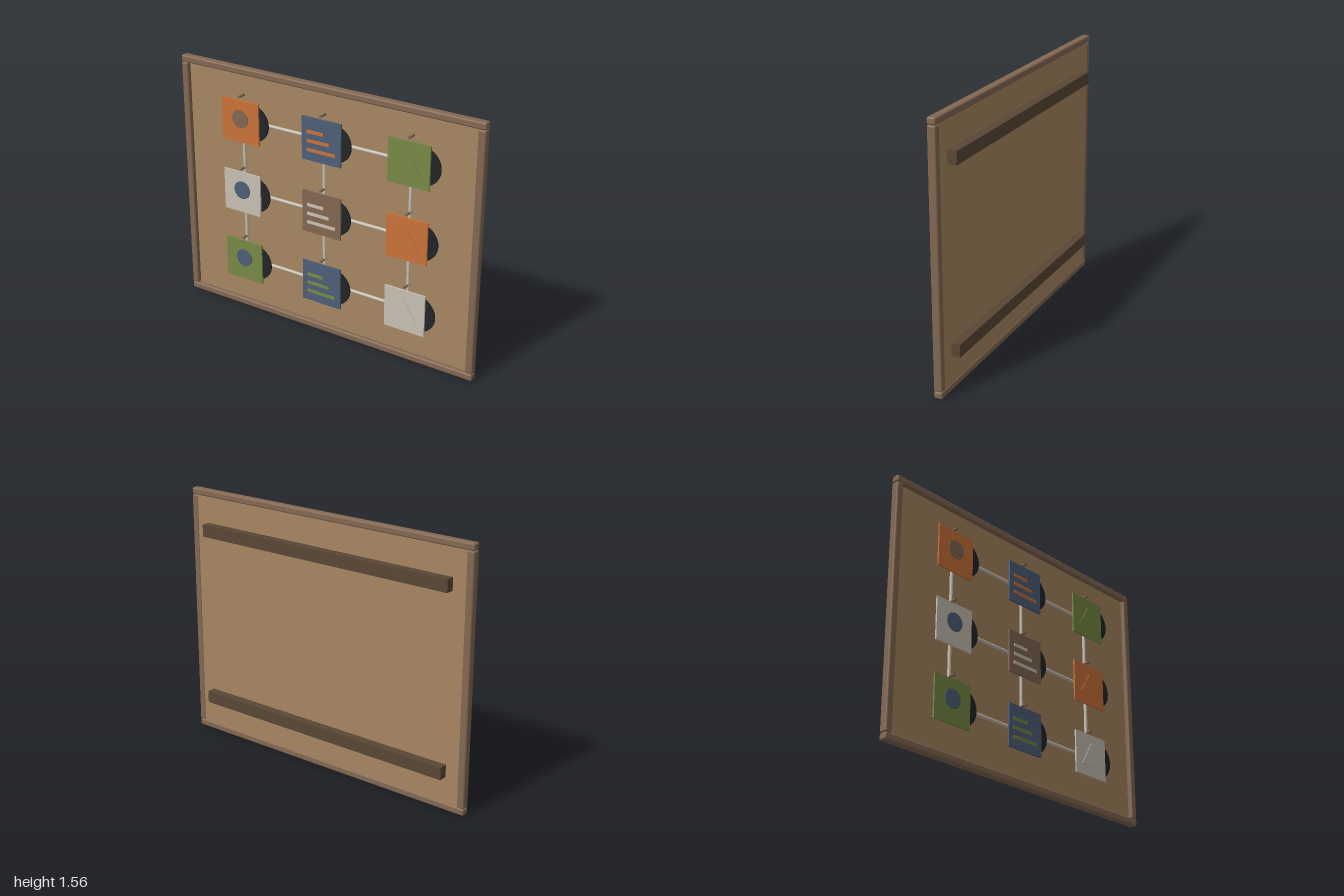
import * as THREE from 'three';
import { RoundedBoxGeometry } from 'three/addons/geometries/RoundedBoxGeometry.js';

export function createModel() {
  const group = new THREE.Group();
  group.name = 'pinBoard';

  const mat = (name, color) => {
    const m = new THREE.MeshStandardMaterial({ color });
    m.name = name;
    return m;
  };
  const cork = mat('cork', 0xa68661);
  const wood = mat('frameWood', 0x836852);
  const darkWood = mat('darkWood', 0x594735);
  const orange = mat('orange', 0xcb7338);
  const blue = mat('blue', 0x4d5f78);
  const green = mat('green', 0x778945);
  const cream = mat('cream', 0xc9c0b2);
  const black = mat('black', 0x222427);

  const add = (name, geometry, material, x, y, z, parent = group) => {
    const mesh = new THREE.Mesh(geometry, material);
    mesh.name = name;
    mesh.position.set(x, y, z);
    parent.add(mesh);
    return mesh;
  };
  const box = (w, h, d) => new THREE.BoxGeometry(w, h, d);
  const rounded = (w, h, d) => new RoundedBoxGeometry(w, h, d, 2, 0.01);
  // Disc or prism whose axis points along z
  const disc = (r, depth, sides) =>
    new THREE.CylinderGeometry(r, r, depth, sides).rotateX(Math.PI / 2);

  const H = 1.564;

  // Backing panel and rounded frame
  add('panel', box(1.94, 1.5, 0.018), cork, 0, H / 2, 0.001);
  add('frameTop', rounded(2, 0.042, 0.05), wood, 0, H - 0.021, 0.0125);
  add('frameBottom', rounded(2, 0.042, 0.05), wood, 0, 0.025, 0.0125);
  for (const s of [-1, 1])
    add(s > 0 ? 'frameLeft' : 'frameRight', rounded(0.045, 1.476, 0.05), wood, s * 0.9775, 0.784, 0.0125);

  // Mounting battens on the back
  for (const y of [0.245, 1.325]) add('batten', box(1.75, 0.075, 0.053), darkWood, 0, y, -0.0335);

  const cols = [-0.564, 0, 0.564];
  const rows = [1.242, 0.788, 0.334];

  // Links between neighbouring cards
  const link = new THREE.CylinderGeometry(0.01, 0.01, 1, 12);
  for (let i = 0; i < 3; i++) {
    for (let j = 0; j < 2; j++) {
      const h = add('horizontalLink', link, cream, (cols[j] + cols[j + 1]) / 2, rows[i], 0.02);
      h.rotation.z = Math.PI / 2;
      h.scale.y = 0.564;
      const v = add('verticalLink', link, cream, cols[i], (rows[j] + rows[j + 1]) / 2, 0.02);
      v.scale.y = 0.454;
    }
  }

  // Card colour and symbol colour, by row and column
  const cards = [
    [[orange, wood], [blue, orange], [green, green]],
    [[cream, blue], [wood, cream], [orange, orange]],
    [[green, blue], [blue, green], [cream, cream]],
  ];
  const triangle = new THREE.Shape([
    new THREE.Vector2(-0.081, -0.068),
    new THREE.Vector2(0.081, -0.068),
    new THREE.Vector2(0, 0.073),
  ]);

  cards.forEach((line, r) => line.forEach(([base, ink], c) => {
    const station = new THREE.Group();
    station.name = 'cardStation';
    station.position.set(cols[c], rows[r], 0);
    group.add(station);

    // Dark disc behind the card, card plate and hanging pin
    add('backDisc', disc(0.113, 0.01, 40), black, 0.077, 0, 0.038, station);
    add('card', box(0.262, 0.262, 0.01), base, 0, 0, 0.049, station);
    add('pin', disc(0.008, 0.055, 12), wood, 0, 0.153, 0.0345, station);

    // Symbol: dot, three bars or triangle
    if (c === 0) {
      add('dot', disc(0.056, 0.006, 32), ink, 0, 0.015, 0.055, station);
    } else if (c === 1) {
      [0.112, 0.149, 0.192].forEach((w, k) =>
        add('bar', box(w, 0.019, 0.006), ink, -0.096 + w / 2, 0.044 - k * 0.055, 0.055, station));
    } else {
      const geo = new THREE.ExtrudeGeometry(triangle, { depth: 0.006, bevelEnabled: false });
      add('triangle', geo, ink, 0, 0, 0.052, station);
    }
  }));

  return group;
}
